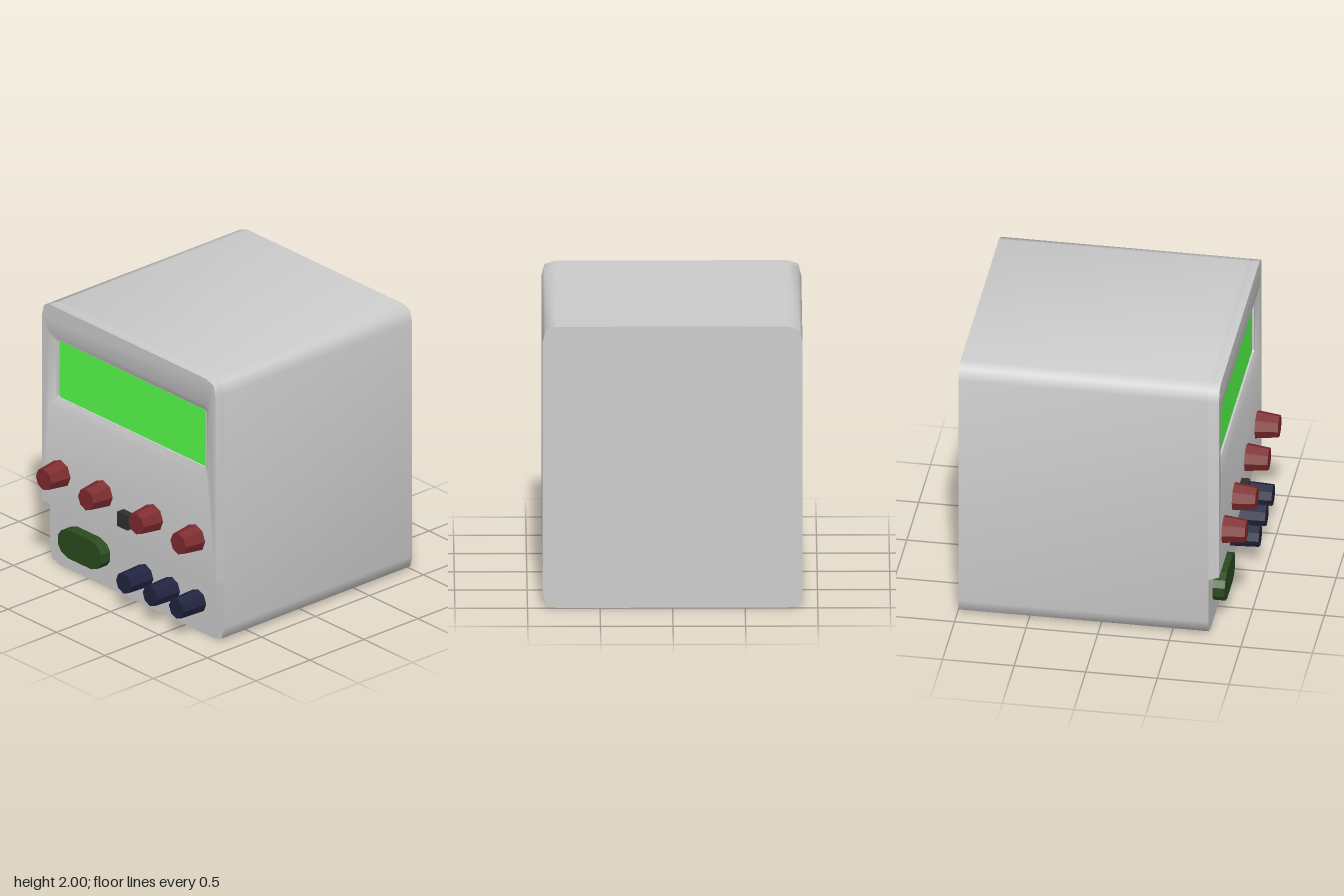
import * as THREE from 'three';
import { toCreasedNormals } from 'three/addons/utils/BufferGeometryUtils.js';

const mat = (color, flatShading = false) => new THREE.MeshStandardMaterial({ color, flatShading });
const grey = mat(0xcccccc);

// Mirror one corner's points (from top edge to right edge) into a full counter-clockwise outline
function outline(corner, cx, cy) {
  const back = [...corner].reverse();
  return [
    ...back.map(([x, y]) => [x, y]),
    ...corner.map(([x, y]) => [-x, y]),
    ...back.map(([x, y]) => [-x, -y]),
    ...corner.map(([x, y]) => [x, -y]),
  ].map(([x, y]) => new THREE.Vector2(cx + x, cy + y));
}

const rectCorner = (w, h, c) => [[w - c, h], [w, h - c]];

function extrude(points, z0, z1, hole) {
  const shape = new THREE.Shape(points);
  if (hole) shape.holes.push(new THREE.Path(hole));
  return new THREE.ExtrudeGeometry(shape, { depth: z1 - z0, bevelEnabled: false }).translate(0, 0, z0);
}

export function createModel() {
  const model = new THREE.Group();
  const add = (name, geometry, material) => {
    const mesh = new THREE.Mesh(geometry, material);
    mesh.name = name;
    model.add(mesh);
    return mesh;
  };
  const soft = (g) => toCreasedNormals(g, 1.1);

  // Case: extruded outline with rounded corners
  const caseCorner = [[0.8, 1], [0.875, 0.975], [0.895, 0.89]];
  add('case', soft(extrude(outline(caseCorner, 0, 1), -0.99, 0.755)), grey);

  // Raised upper panel with a slanted lower lip and a shallow dent around the screen
  const sx = -0.003, sy = 1.52;
  const top = caseCorner.map(([x, y]) => new THREE.Vector2(x, y + 1));
  const panelPoints = [
    new THREE.Vector2(0.895, 0.45),
    ...[...top].reverse(),
    ...top.map((p) => new THREE.Vector2(-p.x, p.y)),
    new THREE.Vector2(-0.895, 0.45),
  ];
  const dent = outline(rectCorner(0.825, 0.28, 0.015), sx, sy);
  const panel = extrude(panelPoints, 0.755, 0.83, dent);
  const p = panel.attributes.position;
  for (let i = 0; i < p.count; i++) {
    const x = p.getX(i), y = p.getY(i), front = p.getZ(i) > 0.8;
    if (front && y < 0.46) p.setY(i, 0.48);
    if (!front && Math.abs(x) < 0.85 && Math.abs(y - sy) < 0.3) {
      p.setXYZ(i, x - Math.sign(x) * 0.05, y - Math.sign(y - sy) * 0.058, 0.8);
    }
  }
  add('frontPanel', soft(panel), grey);

  // Screen in its thin frame
  add('screenFrame', extrude(
    outline(rectCorner(0.785, 0.232, 0.01), sx, sy), 0.755, 0.8,
    outline(rectCorner(0.763, 0.219, 0.01), sx, sy)), grey);
  add('screen', new THREE.BoxGeometry(1.54, 0.45, 0.025).translate(sx, sy, 0.7725), mat(0x55fc4a));

  // Tapered eight-sided knobs and terminals
  const peg = (name, x, y, z0, z1, rBase, rTip, material) => {
    const g = new THREE.CylinderGeometry(rTip, rBase, z1 - z0, 8).rotateX(Math.PI / 2);
    add(name, g, material).position.set(x, y, (z0 + z1) / 2);
  };
  const red = mat(0x7d2a2d, true), blue = mat(0x20233f, true);
  [-0.7, -0.265, 0.254, 0.688].forEach((x, i) => peg(`knob${i + 1}`, x, 0.755, 0.83, 0.99, 0.1, 0.08, red));
  [0.085, 0.36, 0.63].forEach((x, i) => peg(`terminal${i + 1}`, x, 0.23, 0.755, 0.955, 0.085, 0.077, blue));

  // Small square button
  add('button', new THREE.BoxGeometry(0.106, 0.11, 0.06).translate(0, 0.655, 0.86), mat(0x2f2f2f));

  // Long power switch
  const switchCorner = [[0.12, 0.108], [0.19, 0.08], [0.222, 0.035]];
  add('powerSwitch', extrude(outline(switchCorner, -0.497, 0.247), 0.755, 0.84), mat(0x2a4b1e, true));

  return model;
}
